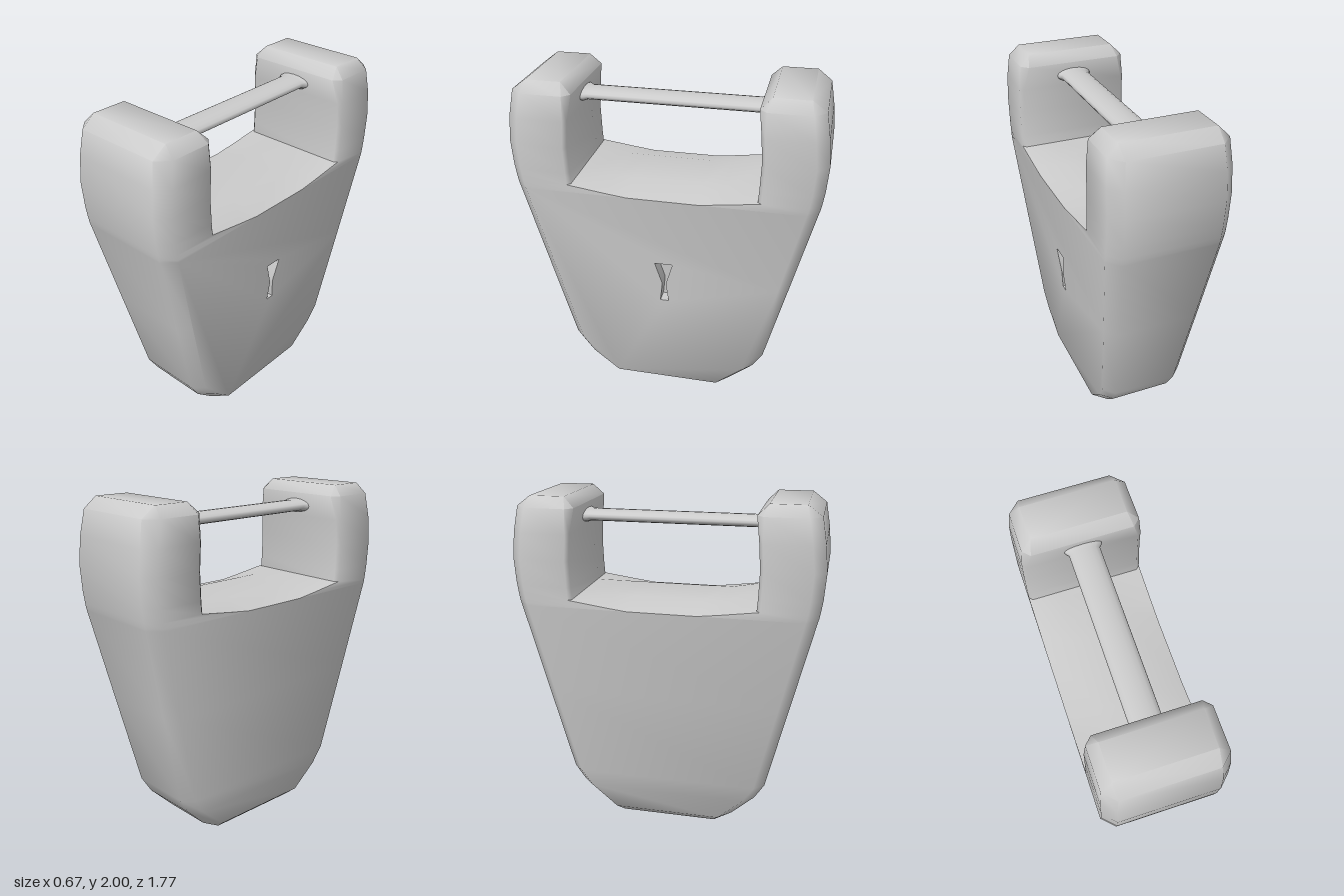
import * as THREE from 'three';
import { toCreasedNormals } from 'three/addons/utils/BufferGeometryUtils.js';

const grey = () => new THREE.MeshStandardMaterial({ color: 0xcccccc });

// One level of a loft: a chamfered rectangle from z0 to z1, half width x,
// with chamfer c at the z1 end and c0 at the z0 end.
function section([y, z1, x, c, z0 = -z1, c0 = c]) {
  return [
    [x, z0 + c0], [x, z1 - c], [x - c, z1], [c - x, z1],
    [-x, z1 - c], [-x, z0 + c0], [c0 - x, z0], [x - c0, z0],
  ].map(([px, pz]) => new THREE.Vector3(px, y, pz));
}

function quad(out, a, b, c, d) {
  out.push(a, b, c, a, c, d);
}

// Walls between levels; skip(row, edge) leaves openings
function loft(out, levels, skip) {
  const rows = levels.map(section);
  for (let r = 0; r < rows.length - 1; r++) {
    for (let i = 0; i < 8; i++) {
      if (skip(r, i)) continue;
      const j = (i + 1) % 8;
      quad(out, rows[r][i], rows[r + 1][i], rows[r + 1][j], rows[r][j]);
    }
  }
  return rows;
}

function cap(out, row, up) {
  for (let i = 1; i < 7; i++) {
    if (up) out.push(row[0], row[i + 1], row[i]);
    else out.push(row[0], row[i], row[i + 1]);
  }
}

function finish(points, crease) {
  const g = new THREE.BufferGeometry().setFromPoints(points);
  return toCreasedNormals(g, crease);
}

// Half width of the tapering lower body
const halfWidth = (y) => 0.23 + (0.335 - 0.23) * (y - 0.06) / (1.385 - 0.06);

// y, z end, half width, chamfer
const bodyLevels = [
  [0, 0.29, 0.16, 0],
  [0.06, 0.4, halfWidth(0.06), 0.08],
  [0.2, 0.54, halfWidth(0.2), 0.065],
  [0.3, 0.6, halfWidth(0.3), 0.06],
  [0.85, 0.73, halfWidth(0.85), 0.062],
  [1.385, 0.856, 0.335, 0.065],
];

// y, outer z, half width, outer chamfer, inner z, inner chamfer
const postLevels = [
  [1.385, 0.856, 0.335, 0.065, 0.2, 0],
  [1.4, 0.86, 0.335, 0.065, 0.32, 0.005],
  [1.43, 0.865, 0.335, 0.065, 0.525, 0.02],
  [1.5, 0.875, 0.335, 0.065, 0.53, 0.02],
  [1.65, 0.885, 0.335, 0.065, 0.535, 0.02],
  [1.8, 0.87, 0.333, 0.065, 0.525, 0.02],
  [1.94, 0.845, 0.32, 0.065, 0.505, 0.04],
  [2.0, 0.765, 0.26, 0, 0.565, 0],
];

// Keyhole outline, seen from the +x side
const keyhole = [
  [-0.025, 0.69], [0.025, 0.69], [0.012, 0.8], [0.012, 0.82],
  [0.053, 0.957], [-0.053, 0.957], [-0.012, 0.82], [-0.012, 0.8],
].map(([u, v]) => new THREE.Vector2(u, v));

// Lays a flat shape point onto the +x side, sunk by depth
const onSide = (p, depth = 0) => new THREE.Vector3(halfWidth(p.y) - depth, p.y, -p.x);

function shapePoints(shape, depth) {
  const g = new THREE.ShapeGeometry(shape).toNonIndexed();
  const pos = g.attributes.position, out = [];
  for (let i = 0; i < pos.count; i++) {
    out.push(onSide(new THREE.Vector2(pos.getX(i), pos.getY(i)), depth));
  }
  return out;
}

function bodyGeometry() {
  const out = [];
  const rows = loft(out, bodyLevels, (r, i) => i === 0 && r > 0);
  cap(out, rows[0], false);

  // +x side panel with the keyhole opening
  const edge = bodyLevels.slice(1).map(([y, z, , c]) => new THREE.Vector2(z - c, y));
  const mirrored = edge.map((p) => new THREE.Vector2(-p.x, p.y)).reverse();
  const panel = new THREE.Shape([...edge, ...mirrored]);
  panel.holes.push(new THREE.Path(keyhole));
  out.push(...shapePoints(panel, 0));

  // Two posts, the rear one turned half way round
  const post = [];
  const postRows = loft(post, postLevels, (r, i) => i === 6 && r < 2);
  cap(post, postRows[postRows.length - 1], true);
  out.push(...post, ...post.map((p) => new THREE.Vector3(-p.x, p.y, -p.z)));

  // Saddle between the posts: flat crest with shoulders dipping at mid length
  const rim = postLevels.slice(0, 3).map(([y, , x, , z, c]) => [z, x - c, y]);
  const stations = [...rim.map(([z, x, y]) => [-z, x, y]).reverse(), ...rim];
  const rowsX = stations.map(([z, x, y]) => [
    [-x, y], [-0.16, 1.43], [0.16, 1.43], [x, y],
  ].map(([px, py]) => new THREE.Vector3(px, py, z)));
  for (let r = 0; r < rowsX.length - 1; r++) {
    for (let i = 0; i < 3; i++) {
      quad(out, rowsX[r][i], rowsX[r + 1][i], rowsX[r + 1][i + 1], rowsX[r][i + 1]);
    }
  }
  return finish(out, 0.95);
}

function keyholeGeometry() {
  const depth = 0.08, out = shapePoints(new THREE.Shape(keyhole), depth);
  keyhole.forEach((a, i) => {
    const b = keyhole[(i + 1) % keyhole.length];
    quad(out, onSide(a), onSide(b), onSide(b, depth), onSide(a, depth));
  });
  return finish(out, 0.3);
}

// Flattened locking bar with small flares where it enters the posts
function barGeometry() {
  const profile = [
    [1.2, -0.54], [1.2, -0.505], [1, -0.485],
    [1, 0.485], [1.2, 0.505], [1.2, 0.54],
  ].map(([r, t]) => new THREE.Vector2(r, t));
  return new THREE.LatheGeometry(profile, 16).rotateX(Math.PI / 2).scale(0.085, 0.034, 1);
}

export function createModel() {
  const group = new THREE.Group();
  group.name = 'padlock';
  const add = (name, geometry, material = grey()) => {
    const mesh = new THREE.Mesh(geometry, material);
    mesh.name = name;
    group.add(mesh);
    return mesh;
  };
  add('body', bodyGeometry());
  add('keyhole', keyholeGeometry()).material.side = THREE.DoubleSide;
  const bar = add('lockingBar', barGeometry());
  bar.material.side = THREE.DoubleSide;
  bar.position.y = 1.863;
  return group;
}
